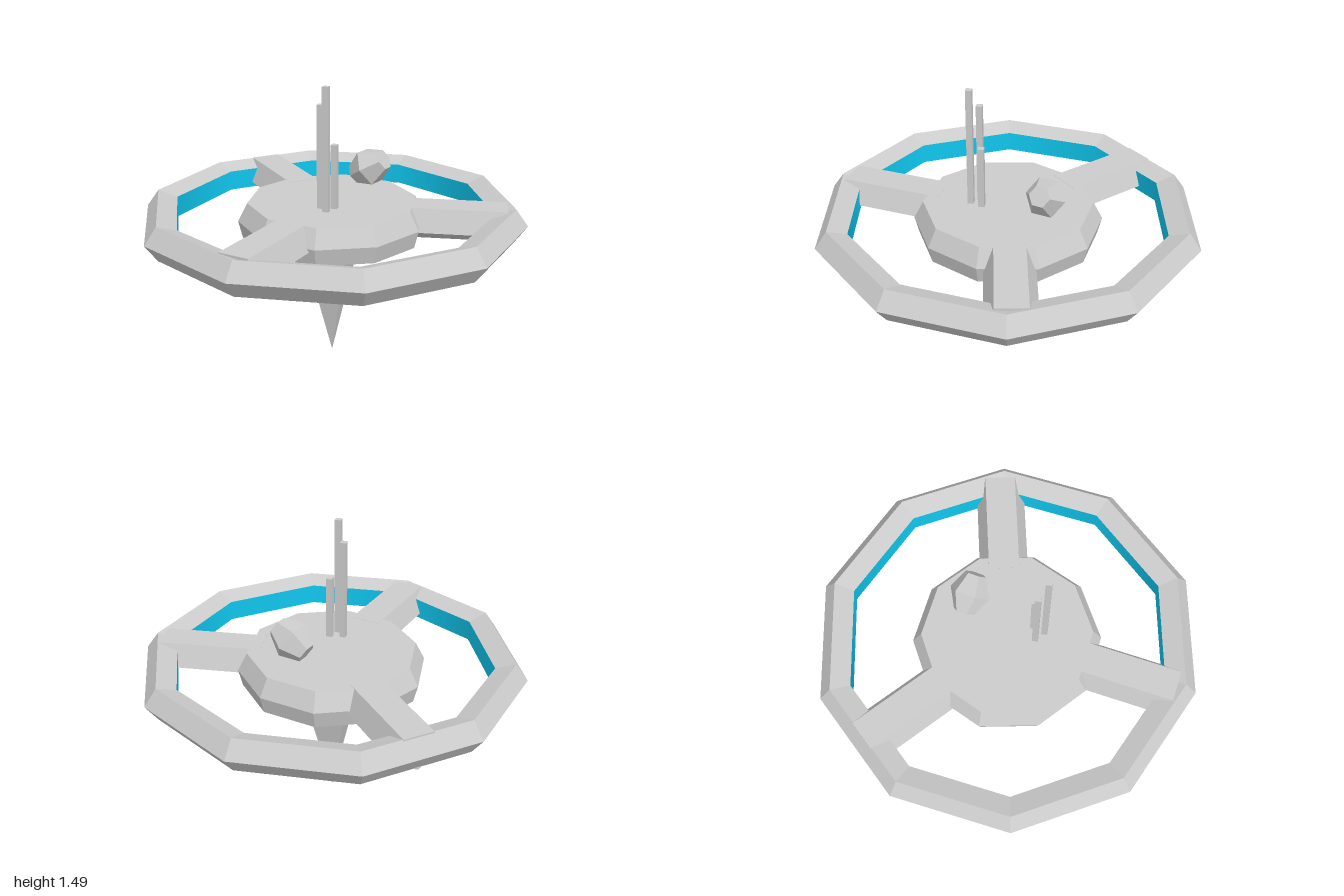
import * as THREE from 'three';

const grey = new THREE.MeshStandardMaterial({ color: 0xcccccc, flatShading: true });
const cyan = new THREE.MeshStandardMaterial({ color: 0x10c8f0 });

function add(parent, name, geometry, material = grey) {
  const mesh = new THREE.Mesh(geometry, material);
  mesh.name = name;
  parent.add(mesh);
  return mesh;
}

// Profile of [radius, height] pairs, listed upwards along the outside
function lathe(profile, sides, start = 0) {
  return new THREE.LatheGeometry(profile.map(([r, y]) => new THREE.Vector2(r, y)), sides, start);
}

export function createModel() {
  const station = new THREE.Group();
  station.name = 'spaceStation';

  // Ten-sided outer ring with a pentagonal section; its inner wall is coloured
  const ringY = 0.772, ringR = 0.908, tube = 0.092;
  const section = [-2, -1, 0, 1, 2].map((i) => {
    const a = (i * Math.PI * 2) / 5;
    return [ringR + tube * Math.cos(a), ringY + tube * Math.sin(a)];
  });
  add(station, 'outerRing', lathe(section, 10, Math.PI / 2));
  add(station, 'ringInnerWall', lathe([section[4], section[0]], 10, Math.PI / 2), cyan);

  // Central hub
  add(station, 'hub', lathe([[0, 0.675], [0.465, 0.675], [0.487, 0.765], [0.438, 0.86], [0, 0.86]], 10));

  // Three pentagonal spokes, flat side up
  const inner = 0.36, outer = 0.895;
  for (const degrees of [180, 55.5, -55.5]) {
    const g = new THREE.CylinderGeometry(0.135, 0.135, outer - inner, 5);
    g.rotateX(Math.PI / 2);
    g.scale(1, 0.76, 1);
    g.translate(0, 0.778, (inner + outer) / 2);
    g.rotateY(THREE.MathUtils.degToRad(degrees));
    add(station, 'spoke', g);
  }

  // Four-sided spike below the hub
  const spike = new THREE.ConeGeometry(0.185, 0.68, 4);
  spike.rotateX(Math.PI);
  spike.translate(0, 0.34, 0);
  add(station, 'lowerSpike', spike);

  // Antenna masts: x, z, top height
  for (const [x, z, top] of [[-0.11, 0.155, 1.49], [-0.11, 0.095, 1.39], [-0.05, 0.13, 1.19]]) {
    const height = top - 0.85;
    const mast = add(station, 'antenna', new THREE.CylinderGeometry(0.022, 0.022, height, 4));
    mast.position.set(x, 0.85 + height / 2, z);
  }

  // Tilted faceted pod floating over the hub
  const pod = add(station, 'pod', lathe([[0, -0.1], [0.055, -0.1], [0.105, 0], [0.055, 0.1], [0, 0.1]], 6));
  pod.quaternion.setFromUnitVectors(
    new THREE.Vector3(0, 1, 0), new THREE.Vector3(0.45, 0.5, 0.72).normalize());
  pod.position.set(0.245, 0.99, -0.05);

  return station;
}
